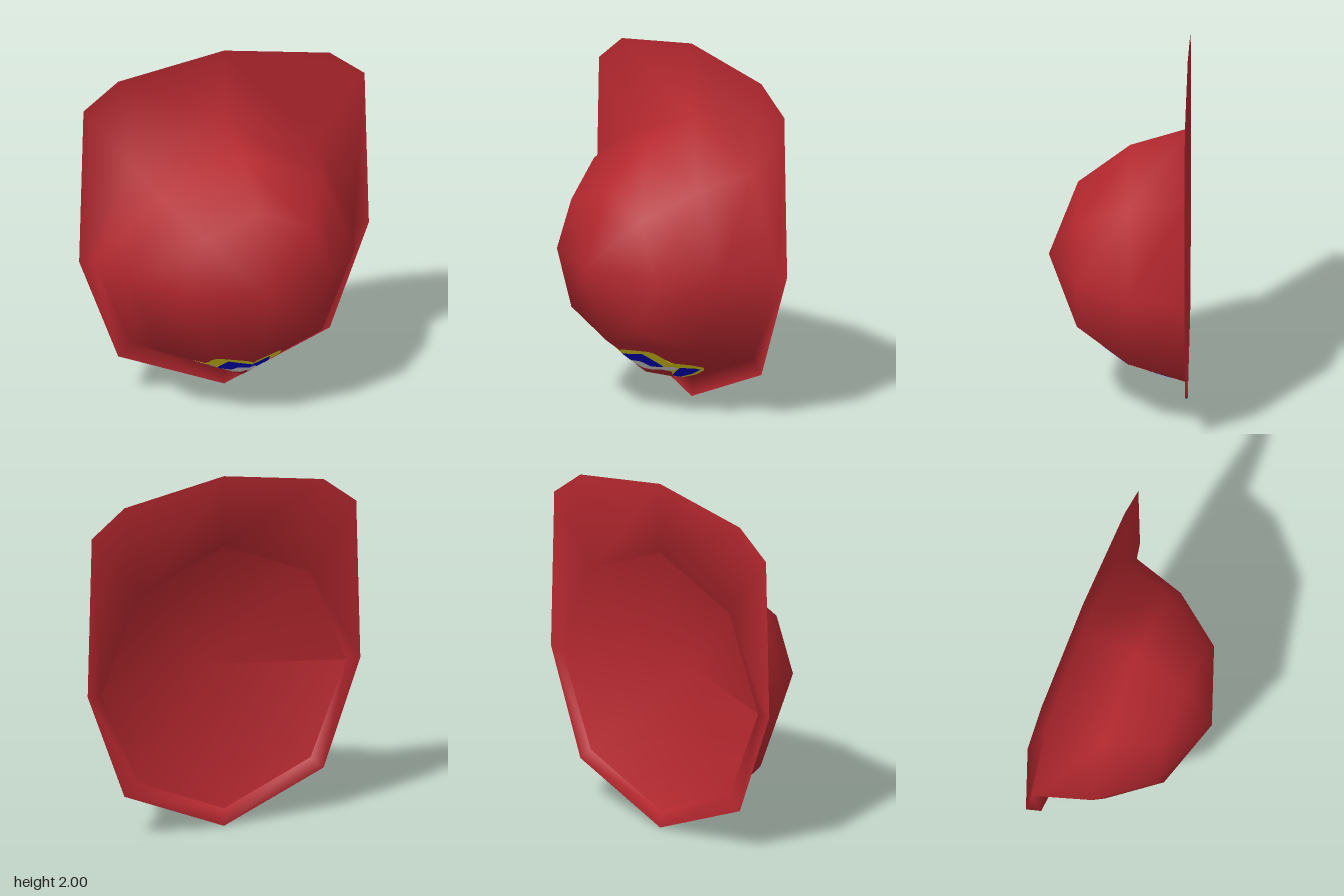
import * as THREE from 'three';

const CY = 0.85; // height of the dome axis
const RADII = [0, 0.43, 0.65, 0.75];
const DEPTHS = [0.38, 0.22, -0.065, -0.38];
const SIDES = 8;

const red = new THREE.MeshStandardMaterial({ name: 'red', color: 0xb5282f, side: THREE.DoubleSide });
const yellow = new THREE.MeshStandardMaterial({ name: 'yellow', color: 0xe6d420, side: THREE.DoubleSide });
const blue = new THREE.MeshStandardMaterial({ name: 'blue', color: 0x0000c8, side: THREE.DoubleSide });
const white = new THREE.MeshStandardMaterial({ name: 'white', color: 0xdedada, side: THREE.DoubleSide });

function geometryFrom(positions, index) {
  const g = new THREE.BufferGeometry();
  g.setAttribute('position', new THREE.Float32BufferAttribute(positions, 3));
  g.setIndex(index);
  g.computeVertexNormals();
  return g;
}

// Octagonal dome that runs smoothly into a flat, taller brim
function shellGeometry() {
  const pos = [0, CY, DEPTHS[0]];
  const index = [];
  const at = (ring, k) => 1 + (ring - 1) * SIDES + (k % SIDES);
  for (let r = 1; r < 4; r++) {
    for (let k = 0; k < SIDES; k++) {
      const a = (k / SIDES) * Math.PI * 2;
      pos.push(RADII[r] * Math.cos(a), CY + RADII[r] * Math.sin(a), DEPTHS[r]);
    }
  }
  for (let k = 0; k < SIDES; k++) {
    index.push(0, at(1, k), at(1, k + 1));
    for (let r = 1; r < 3; r++) {
      index.push(at(r, k), at(r + 1, k), at(r + 1, k + 1));
      index.push(at(r, k), at(r + 1, k + 1), at(r, k + 1));
    }
  }
  // Brim outline, each point tied to a corner of the dome's rim
  const outline = [
    [0.835, 0.85, 0], [0.81, 1.75, 1], [0.61, 1.9, 1], [0, 2, 2], [-0.61, 1.9, 3],
    [-0.81, 1.75, 3], [-0.835, 0.85, 4], [-0.61, 0.25, 5], [0, 0, 6], [0.61, 0.25, 7],
  ];
  const first = pos.length / 3;
  outline.forEach(([x, y]) => pos.push(x, y, DEPTHS[3]));
  outline.forEach(([, , k], i) => {
    const j = (i + 1) % outline.length;
    const a = at(3, k), b = at(3, outline[j][2]);
    index.push(a, first + i, first + j);
    if (a !== b) index.push(a, first + j, b);
  });
  return geometryFrom(pos, index);
}

// Shallow hollow in the back, sunk towards its centre
function hollowGeometry() {
  const g = new THREE.CircleGeometry(RADII[3], SIDES);
  g.attributes.position.setZ(0, -0.27);
  g.computeVertexNormals();
  return g;
}

// Depth of the faceted dome at a point in the front plane
function domeZ(x, y) {
  let q = 0;
  for (let k = 0; k < SIDES; k++) {
    const a = ((k + 0.5) / SIDES) * Math.PI * 2;
    q = Math.max(q, (x * Math.cos(a) + (y - CY) * Math.sin(a)) / Math.cos(Math.PI / SIDES));
  }
  let r = 1;
  while (r < 3 && q > RADII[r]) r++;
  const t = (q - RADII[r - 1]) / (RADII[r] - RADII[r - 1]);
  return THREE.MathUtils.lerp(DEPTHS[r - 1], DEPTHS[r], t);
}

function sample(points, x) {
  let i = 1;
  while (i < points.length - 1 && x > points[i][0]) i++;
  const [x0, y0] = points[i - 1], [x1, y1] = points[i];
  return THREE.MathUtils.lerp(y0, y1, (x - x0) / (x1 - x0));
}

// Half of a painted patch between two edge curves, laid on the dome
function patchGeometry(upper, lower, lift, side) {
  const nx = 24, ny = 12, pos = [], index = [];
  const x0 = upper[0][0], x1 = upper[upper.length - 1][0];
  for (let i = 0; i <= nx; i++) {
    const x = THREE.MathUtils.lerp(x0, x1, i / nx);
    for (let j = 0; j <= ny; j++) {
      const y = THREE.MathUtils.lerp(sample(lower, x), sample(upper, x), j / ny);
      pos.push(side * x, y - lift, domeZ(x, y) + lift);
      if (i < nx && j < ny) {
        const a = i * (ny + 1) + j, b = a + ny + 1;
        if (side > 0) index.push(a, b, b + 1, a, b + 1, a + 1);
        else index.push(a, b + 1, b, a, a + 1, b + 1);
      }
    }
  }
  return geometryFrom(pos, index);
}

export function createModel() {
  const model = new THREE.Group();
  model.name = 'domedShell';
  const shell = new THREE.Mesh(shellGeometry(), red);
  shell.name = 'domeAndBrim';
  model.add(shell);

  const back = new THREE.Mesh(hollowGeometry(), red);
  back.name = 'backHollow';
  back.rotation.y = Math.PI;
  back.position.set(0, CY, DEPTHS[3]);
  model.add(back);

  // Painted badge under the dome, mirrored about the centre
  const badge = new THREE.Group();
  badge.name = 'badge';
  const patches = [
    ['badgeBorder', yellow, 0.003,
      [[0, 0.35], [0.03, 0.362], [0.17, 0.365], [0.2, 0.35], [0.212, 0.29], [0.243, 0.265]],
      [[0, 0.12], [0.1, 0.155], [0.2, 0.205], [0.243, 0.235]]],
    ['badgeUpperField', blue, 0.005,
      [[0, 0.33], [0.05, 0.335], [0.12, 0.345], [0.145, 0.27]],
      [[0, 0.285], [0.05, 0.28], [0.07, 0.245], [0.145, 0.255]]],
    ['badgeBand', white, 0.005,
      [[0, 0.285], [0.05, 0.28], [0.07, 0.245], [0.12, 0.25], [0.16, 0.25]],
      [[0, 0.24], [0.05, 0.21], [0.1, 0.205], [0.16, 0.236]]],
    ['badgeCentre', red, 0.006,
      [[0, 0.26], [0.02, 0.228], [0.085, 0.222]],
      [[0, 0.14], [0.03, 0.16], [0.085, 0.2]]],
    ['badgeLowerField', blue, 0.005,
      [[0.012, 0.15], [0.1, 0.2], [0.17, 0.238], [0.205, 0.228]],
      [[0.012, 0.132], [0.1, 0.165], [0.17, 0.198], [0.205, 0.216]]],
  ];
  for (const [name, material, lift, upper, lower] of patches) {
    for (const side of [1, -1]) {
      const mesh = new THREE.Mesh(patchGeometry(upper, lower, lift, side), material);
      mesh.name = name + (side > 0 ? 'Left' : 'Right');
      badge.add(mesh);
    }
  }
  model.add(badge);
  return model;
}
